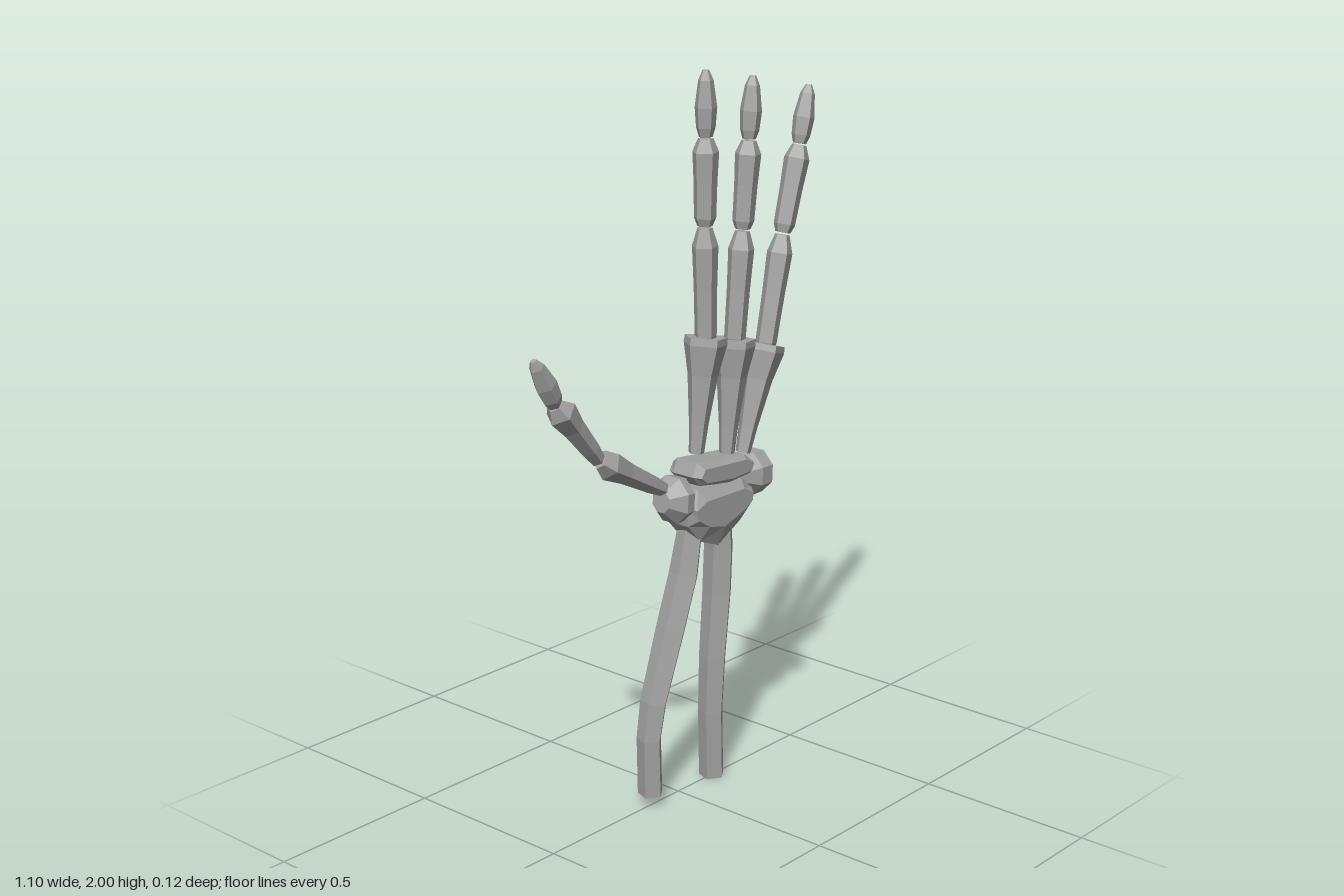
import * as THREE from 'three';

const bone = new THREE.MeshStandardMaterial({ color: 0xa2a2a2 });
bone.name = 'bone grey';

// Closed faceted skin over a list of rings, each running clockwise about the direction of travel
function skin(name, rings) {
  const pos = [];
  const tri = (...vs) => vs.forEach(v => pos.push(v.x, v.y, v.z));
  const n = rings[0].length;
  const mid = r => r.reduce((s, v) => s.add(v), new THREE.Vector3()).divideScalar(n);
  const first = rings[0], last = rings[rings.length - 1];
  const c0 = mid(first), c1 = mid(last);
  for (let i = 0; i < n; i++) {
    const j = (i + 1) % n;
    for (let k = 0; k + 1 < rings.length; k++) {
      const a = rings[k], b = rings[k + 1];
      tri(a[i], b[i], a[j]);
      tri(a[j], b[i], b[j]);
    }
    tri(c0, first[i], first[j]);
    tri(c1, last[j], last[i]);
  }
  const geo = new THREE.BufferGeometry();
  geo.setAttribute('position', new THREE.Float32BufferAttribute(pos, 3));
  geo.computeVertexNormals();
  const mesh = new THREE.Mesh(geo, bone);
  mesh.name = name;
  return mesh;
}

// Many-sided rod along a path in the xy plane; stations are [x, y, radius]
function rod(name, stations, sides = 5, start = Math.PI, depth = 1) {
  return skin(name, stations.map(([x, y, r], k) => {
    const p = stations[Math.max(k - 1, 0)], q = stations[Math.min(k + 1, stations.length - 1)];
    const t = new THREE.Vector2(q[0] - p[0], q[1] - p[1]).normalize();
    return Array.from({ length: sides }, (_, i) => {
      const a = start + i / sides * Math.PI * 2;
      const u = r * Math.cos(a);
      return new THREE.Vector3(x + t.y * u, y - t.x * u, r * depth * Math.sin(a));
    });
  }));
}

// Straight bone between two joints; profile is [fraction, radius]
function segment(name, a, b, profile) {
  return rod(name, profile.map(([f, r]) =>
    [a[0] + (b[0] - a[0]) * f, a[1] + (b[1] - a[1]) * f, r]));
}

// Bevelled pebble: clockwise outline stacked along z; layers are [z, scaleX, scaleY]
function pebble(name, outline, [cx, cy], layers) {
  return skin(name, layers.map(([z, sx, sy]) =>
    outline.map(([x, y]) => new THREE.Vector3(cx + (x - cx) * sx, cy + (y - cy) * sy, z))));
}

const META = [[0, 0.022], [0.25, 0.028], [0.68, 0.044], [0.94, 0.062], [1, 0.06]];
const PHALANX = [[0.01, 0.022], [0.1, 0.031], [0.5, 0.033], [0.84, 0.037], [0.99, 0.021]];
const THUMB = [[0.01, 0.02], [0.2, 0.026], [0.6, 0.032], [0.86, 0.042], [0.99, 0.022]];
const TIP = [[0.01, 0.019], [0.15, 0.027], [0.45, 0.031], [0.85, 0.021], [1, 0.009]];

export function createModel() {
  const model = new THREE.Group();
  model.name = 'skeletonHand';

  // Forearm bones
  const front = Math.PI / 2;
  model.add(
    rod('outerForearmBone', [[-0.115, 0.035, 0.036], [-0.119, 0.2, 0.036], [-0.1, 0.3, 0.039],
      [-0.03, 0.49, 0.043], [0.025, 0.64, 0.043], [0.055, 0.78, 0.036]], 5, front),
    rod('innerForearmBone', [[0.145, 0, 0.037], [0.14, 0.2, 0.037], [0.148, 0.36, 0.04],
      [0.166, 0.55, 0.043], [0.172, 0.68, 0.043], [0.168, 0.79, 0.038]], 5, front));

  // Wrist bones
  model.add(
    pebble('lowerWristBone',
      [[-0.01, 0.85], [0.04, 0.885], [0.22, 0.88], [0.265, 0.84], [0.262, 0.8],
        [0.22, 0.755], [0.125, 0.705], [0.05, 0.735], [0, 0.79]], [0.128, 0.825],
      [[-0.062, 0.86, 0.5], [-0.035, 1, 1], [0.035, 1, 1], [0.06, 0.86, 0.5]]),
    pebble('upperWristBone',
      [[0.035, 0.963], [0.23, 0.942], [0.268, 0.915], [0.255, 0.88], [0.17, 0.874],
        [0.045, 0.895], [0.018, 0.925]], [0.14, 0.918],
      [[-0.06, 0.88, 0.6], [-0.035, 1, 1], [0.035, 1, 1], [0.056, 0.88, 0.6]]),
    rod('thumbWristBone', [[-0.07, 0.872, 0.032], [-0.03, 0.868, 0.068], [0, 0.866, 0.064],
      [0.03, 0.864, 0.036]], 8, Math.PI / 8, 0.98),
    rod('sideWristBone', [[0.245, 0.87, 0.04], [0.285, 0.868, 0.066], [0.33, 0.867, 0.064],
      [0.36, 0.865, 0.034]], 8, Math.PI / 8, 0.98));

  // Fingers: palm bone, two phalanges and a tip, listed by joint
  const fingers = {
    firstFinger: [[0.073, 0.975], [0.11, 1.29], [0.105, 1.59], [0.107, 1.825], [0.107, 2]],
    middleFinger: [[0.2, 0.94], [0.228, 1.262], [0.26, 1.557], [0.284, 1.797], [0.298, 1.965]],
    lastFinger: [[0.27, 0.93], [0.358, 1.223], [0.432, 1.52], [0.5, 1.757], [0.538, 1.915]],
  };
  for (const [name, j] of Object.entries(fingers)) {
    const finger = new THREE.Group();
    finger.name = name;
    finger.add(
      segment('palmBone', j[0], j[1], META),
      segment('lowerPhalanx', [j[1][0], j[1][1] - 0.03], j[2], PHALANX),
      segment('upperPhalanx', j[2], j[3], PHALANX),
      segment('fingertip', j[3], j[4], TIP));
    model.add(finger);
  }

  // Thumb
  const thumb = new THREE.Group();
  thumb.name = 'thumb';
  thumb.add(
    segment('lowerPhalanx', [-0.06, 0.905], [-0.31, 1.045], THUMB),
    segment('upperPhalanx', [-0.31, 1.045], [-0.468, 1.23], THUMB),
    segment('thumbTip', [-0.465, 1.226], [-0.54, 1.357], TIP));
  model.add(thumb);

  return model;
}
